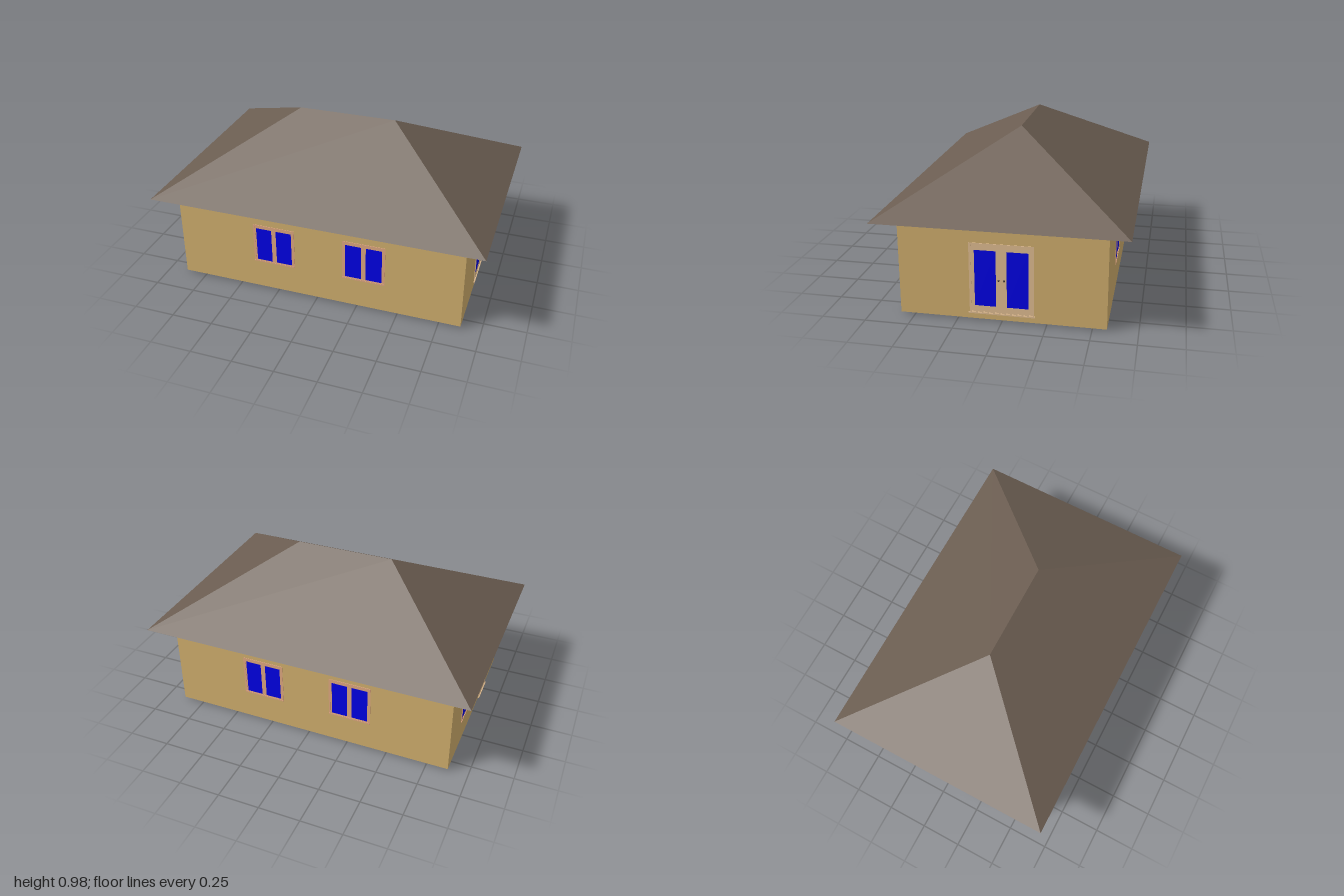
import * as THREE from 'three';

const mat = (name, color, side = THREE.FrontSide) => {
  const m = new THREE.MeshStandardMaterial({ color, side });
  m.name = name;
  return m;
};

export function createModel() {
  const wallMat = mat('sand plaster', 0xd2b06e);
  const floorMat = mat('grey floor', 0x696969);
  const roofMat = mat('brown roof', 0x6b5d51, THREE.DoubleSide);
  const glassMat = mat('blue glass', 0x0000e6);
  const windowMat = mat('window wood', 0xe0a880);
  const doorMat = mat('door wood', 0xe2be92);
  const knobMat = mat('dark metal', 0x4a4038);

  const house = new THREE.Group();
  house.name = 'house';
  const W = 0.88, D = 0.58;

  const add = (parent, name, geo, material, x = 0, y = 0, z = 0) => {
    const mesh = new THREE.Mesh(geo, material);
    mesh.name = name;
    mesh.position.set(x, y, z);
    parent.add(mesh);
    return mesh;
  };
  const box = (w, h, d) => new THREE.BoxGeometry(w, h, d);

  // Walls, with the underside as the floor slab
  add(house, 'walls', box(2 * W, 0.633, 2 * D),
    [wallMat, wallMat, wallMat, floorMat, wallMat, wallMat], 0, 0.3285, 0);

  // Hollow hip roof: four sloping sheets
  const a = [-1, 0.577, 0.7], b = [1, 0.577, 0.7], c = [1, 0.577, -0.7], d = [-1, 0.577, -0.7];
  const l = [-0.3, 0.977, 0], r = [0.3, 0.977, 0];
  const roof = new THREE.BufferGeometry();
  roof.setAttribute('position', new THREE.Float32BufferAttribute(
    [a, b, r, a, r, l, c, d, l, c, l, r, b, c, r, d, a, l].flat(), 3));
  roof.computeVertexNormals();
  add(house, 'roof', roof, roofMat);

  // Rectangle path [x0, y0, x1, y1]
  const rect = (P, [x0, y0, x1, y1]) => {
    const p = new P();
    p.moveTo(x0, y0);
    p.lineTo(x1, y0);
    p.lineTo(x1, y1);
    p.lineTo(x0, y1);
    p.closePath();
    return p;
  };
  const frame = (outer, holes, depth) => {
    const s = rect(THREE.Shape, outer);
    s.holes = holes.map(h => rect(THREE.Path, h));
    return new THREE.ExtrudeGeometry(s, { depth, bevelEnabled: false });
  };

  // Glazed opening, built facing +z with its bottom centre at the origin
  function opening(name, w, h, panes, material, sillWidth, sillDepth) {
    const g = new THREE.Group();
    g.name = name;
    const outer = [-w / 2, 0, w / 2, h];
    add(g, 'sashFrame', frame(outer, panes, 0.0015), material);
    add(g, 'outerTrim', frame(outer, [[-w / 2 + 0.012, 0.004, w / 2 - 0.012, h - 0.012]], 0.003), material);
    for (const [x0, y0, x1, y1] of panes)
      add(g, 'glass', box(x1 - x0, y1 - y0, 0.002), glassMat, (x0 + x1) / 2, (y0 + y1) / 2, 0);
    add(g, 'sill', box(sillWidth, 0.008, 2 * sillDepth), material, 0, -0.004, 0);
    house.add(g);
    return g;
  }
  const makeWindow = name => opening(name, 0.26, 0.25,
    [[-0.111, 0.006, -0.014, 0.226], [0.014, 0.006, 0.111, 0.226]], windowMat, 0.26, 0.005);
  const addKnob = (g, x) =>
    add(g, 'knob', new THREE.SphereGeometry(0.006, 10, 8), knobMat, x, 0.198, 0.002);

  // Two windows on the front and two on the back
  for (const x of [-0.267, 0.291]) {
    makeWindow('frontWindow').position.set(x, 0.203, D);
    const back = makeWindow('backWindow');
    back.position.set(x, 0.203, -D);
    back.rotation.y = Math.PI;
  }

  // Side window
  const side = makeWindow('sideWindow');
  side.position.set(-W, 0.18, -0.21);
  side.rotation.y = -Math.PI / 2;

  // Double glazed door
  const double = opening('doubleDoor', 0.36, 0.41,
    [[-0.15, 0.04, -0.03, 0.369], [0.03, 0.04, 0.15, 0.369]], doorMat, 0.374, 0.007);
  double.position.set(W, 0.052, 0);
  double.rotation.y = Math.PI / 2;
  for (const x of [-0.015, 0.015]) addKnob(double, x);

  // Single glazed door
  const single = opening('singleDoor', 0.164, 0.41, [[-0.052, 0.04, 0.052, 0.369]], doorMat, 0.176, 0.007);
  single.position.set(-W, 0.01, 0.227);
  single.rotation.y = -Math.PI / 2;
  addKnob(single, 0.063);

  return house;
}
